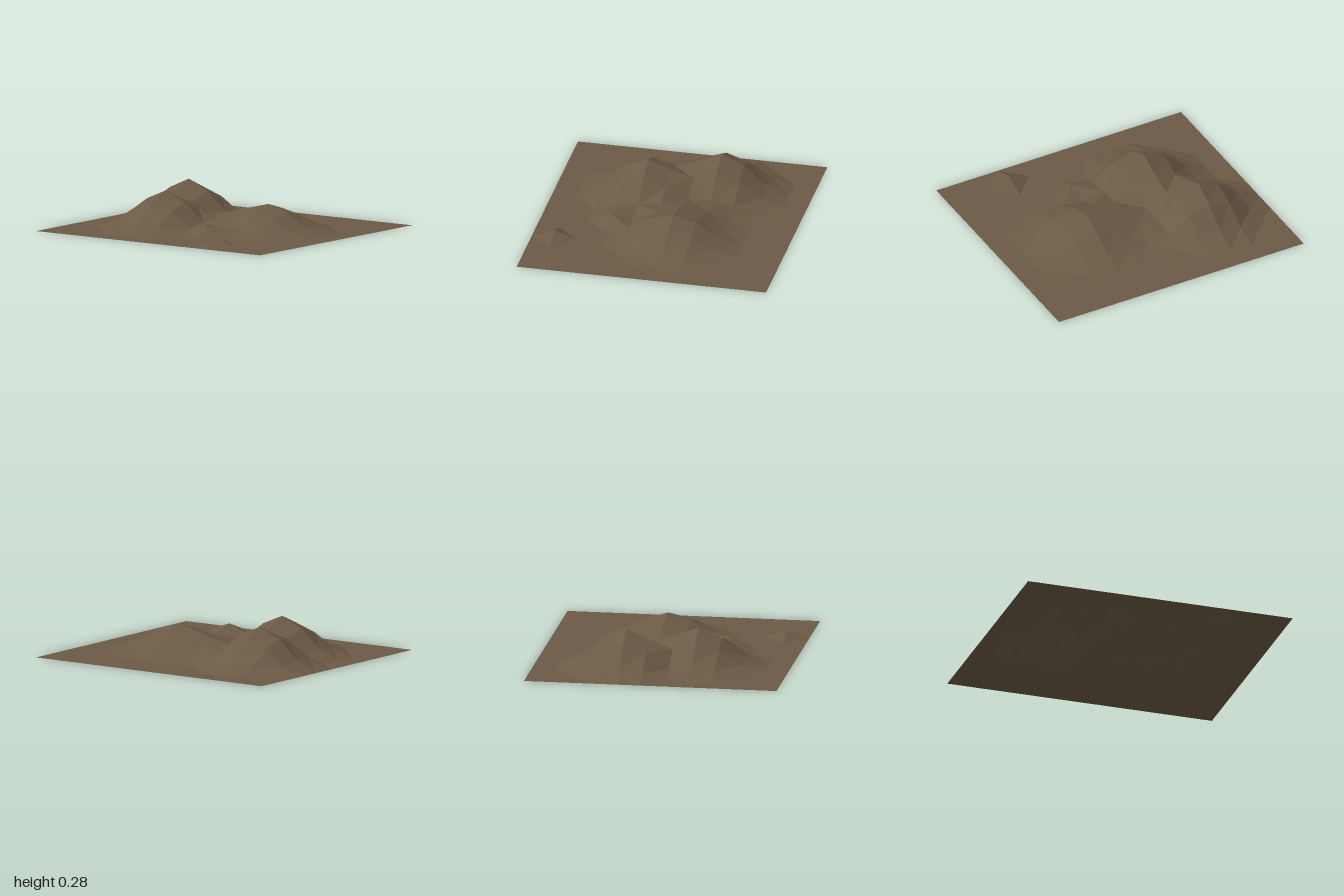
import * as THREE from 'three';

const COLS = 12, ROWS = 11, CELL = 1 / 6;

// Hills: grid column, grid row, height, radius in cells
const HILLS = [
  [3, 4, 0.285, 3],     // tall rear peak
  [4, 7, 0.275, 3],     // tall front peak
  [8, 5, 0.195, 3.1],   // broad hill
  [7, 5, 0.155, 3],     // shoulder of the broad hill
  [6, 5, 0.11, 2.6],    // saddle towards the peaks
  [7, 8, 0.07, 1],      // small bump
  [9, 10, 0.06, 1],     // lone mound near the front edge
];

// The highest hill wins; each has a smoothstep slope
function heightAt(i, j) {
  let h = 0;
  for (const [ci, cj, top, radius] of HILLS) {
    const t = Math.max(0, 1 - Math.hypot(i - ci, j - cj) / radius);
    h = Math.max(h, top * t * t * (3 - 2 * t));
  }
  return h;
}

function terrainGeometry() {
  const positions = [], index = [];
  for (let j = 0; j <= ROWS; j++) {
    for (let i = 0; i <= COLS; i++) {
      positions.push((i - COLS / 2) * CELL, heightAt(i, j), (j - ROWS / 2) * CELL);
    }
  }
  // Split every cell along its shorter diagonal
  for (let j = 0; j < ROWS; j++) {
    for (let i = 0; i < COLS; i++) {
      const a = j * (COLS + 1) + i, b = a + 1, c = a + COLS + 1, d = c + 1;
      const rise = (p, q) => Math.abs(positions[p * 3 + 1] - positions[q * 3 + 1]);
      if (rise(b, c) <= rise(a, d)) index.push(a, c, b, b, c, d);
      else index.push(a, c, d, a, d, b);
    }
  }
  const geometry = new THREE.BufferGeometry();
  geometry.setAttribute('position', new THREE.Float32BufferAttribute(positions, 3));
  geometry.setIndex(index);
  geometry.computeVertexNormals();
  return geometry;
}

export function createModel() {
  const group = new THREE.Group();
  group.name = 'hillyGround';
  const soil = new THREE.MeshStandardMaterial({
    color: 0x6b5a45, flatShading: true, side: THREE.DoubleSide,
  });
  const terrain = new THREE.Mesh(terrainGeometry(), soil);
  terrain.name = 'terrain';
  group.add(terrain);
  return group;
}
